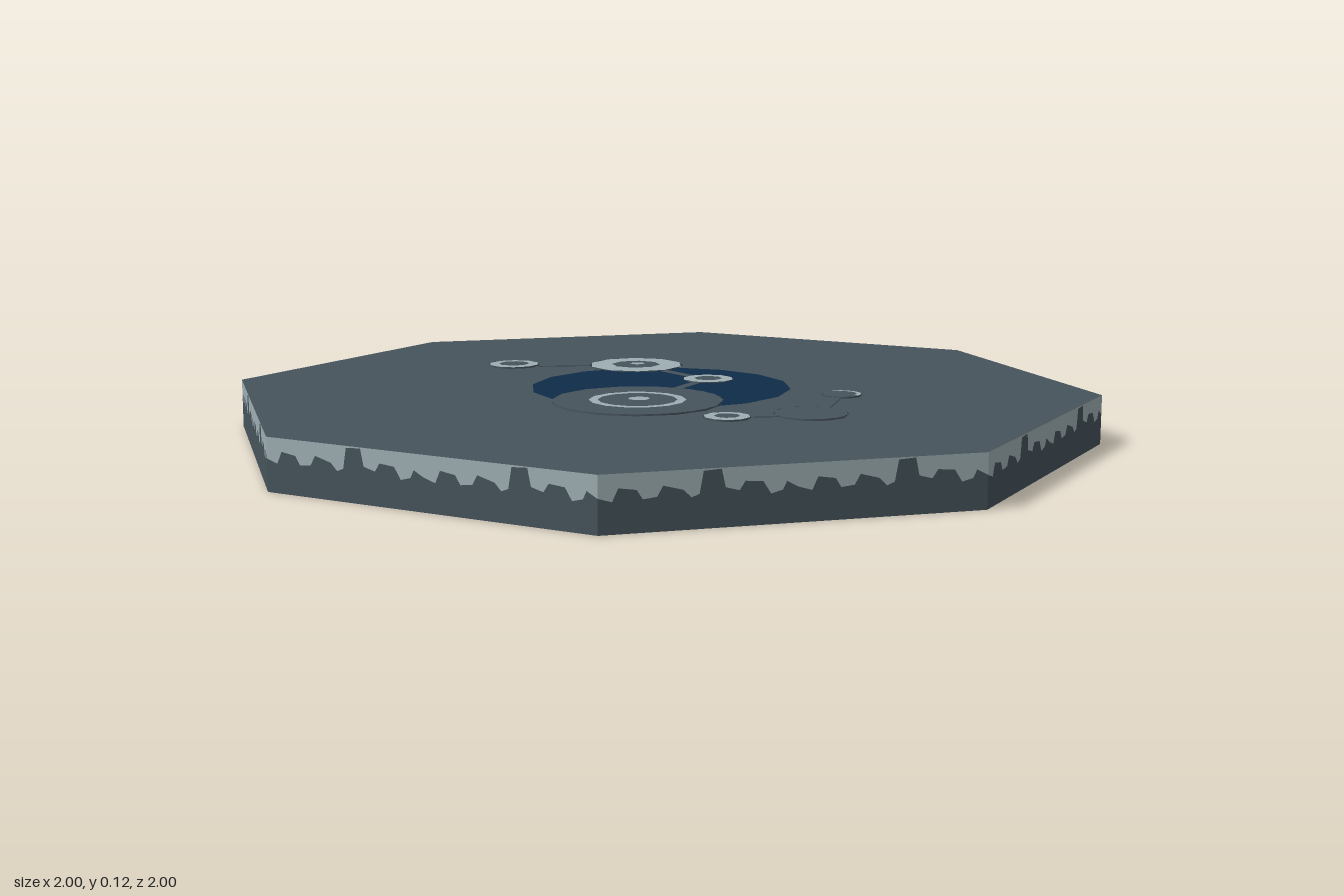
import * as THREE from 'three';

const mat = (name, color) => {
  const m = new THREE.MeshStandardMaterial({ color, side: THREE.DoubleSide });
  m.name = name;
  return m;
};

export function createModel() {
  const slate = mat('slate', 0x46535b);
  const pale = mat('paleStone', 0x9eaeb2);
  const blue = mat('deepWater', 0x0e2c48);

  const TOP = 0.112, DECK = 0.116;
  const model = new THREE.Group();
  model.name = 'octagonalPlatform';

  const add = (parent, name, geo, material, x = 0, y = 0, z = 0) => {
    const mesh = new THREE.Mesh(geo, material);
    mesh.name = name;
    mesh.position.set(x, y, z);
    parent.add(mesh);
    return mesh;
  };
  const disc = (r, n) => new THREE.CircleGeometry(r, n).rotateX(-Math.PI / 2);
  const ring = (a, b, n, start = 0, len = Math.PI * 2) =>
    new THREE.RingGeometry(a, b, n, 1, start, len).rotateX(-Math.PI / 2);

  // Plate and the pool, which shows on both faces
  add(model, 'plate', disc(1, 8), slate, 0, TOP, 0);
  add(model, 'pool', disc(0.3, 16), blue, 0, TOP + 0.0015, 0);
  add(model, 'poolUnderside', disc(0.3, 16), blue, 0, TOP - 0.0015, 0);

  // Rim wall: pale ragged crust above, slate below; the edge repeats twice a side
  const edge = [[0, 0.068], [0.07, 0.06], [0.1, 0.085], [0.19, 0.08], [0.22, 0.062], [0.29, 0.065],
    [0.32, 0.085], [0.42, 0.075], [0.46, 0.06], [0.5, 0.066], [0.52, 0.108], [0.61, 0.11],
    [0.63, 0.075], [0.7, 0.068], [0.73, 0.085], [0.82, 0.082], [0.86, 0.058], [0.92, 0.064],
    [0.94, 0.08], [1, 0.068]];
  const crust = [], base = [];
  const quad = (out, p, q, p0, p1, q0, q1) => out.push(
    p.x, p0, p.z, q.x, q0, q.z, q.x, q1, q.z,
    p.x, p0, p.z, q.x, q1, q.z, p.x, p1, p.z);
  const corner = (i) => new THREE.Vector3(Math.sin(i * Math.PI / 4), 0, Math.cos(i * Math.PI / 4));
  for (let side = 0; side < 8; side++) {
    const a = corner(side), b = corner(side + 1);
    for (let rep = 0; rep < 2; rep++) {
      for (let k = 0; k < edge.length - 1; k++) {
        const [u0, h0] = edge[k], [u1, h1] = edge[k + 1];
        const p = a.clone().lerp(b, (rep + u0) / 2);
        const q = a.clone().lerp(b, (rep + u1) / 2);
        quad(base, p, q, 0, h0, 0, h1);
        quad(crust, p, q, h0, TOP, h1, TOP);
      }
    }
  }
  const wall = (name, points, material) => {
    const geo = new THREE.BufferGeometry();
    geo.setAttribute('position', new THREE.Float32BufferAttribute(points, 3));
    geo.computeVertexNormals();
    add(model, name, geo, material);
  };
  wall('rimWall', base, slate);
  wall('rimCrust', crust, pale);

  // Round islands: open skirt, cap, worn centre and small boss
  const island = ({ name, x, z, r, cap, core = 0, dot = 0, depth = 0.012, sides = 10 }) => {
    const g = new THREE.Group();
    g.name = name;
    g.position.set(x, DECK, z);
    const h = depth + DECK - TOP;
    add(g, 'skirt', new THREE.CylinderGeometry(r, r, h, sides, 1, true), slate, 0, -h / 2, 0);
    add(g, 'cap', disc(r, sides), cap, 0, 0, 0);
    if (core) add(g, 'wornCentre', disc(core, 8), slate, 0, 0.0008, 0);
    if (dot) add(g, 'boss', disc(dot, 8), pale, -0.005, 0.0016, -0.008);
    model.add(g);
    return g;
  };
  island({ name: 'westIsland', x: -0.3, z: -0.16, r: 0.115, cap: pale, core: 0.06, dot: 0.018 });
  island({ name: 'middleIsland', x: -0.015, z: -0.155, r: 0.06, cap: pale, core: 0.033 });
  island({ name: 'farWestIsland', x: -0.5, z: 0.07, r: 0.062, cap: pale, core: 0.038 });
  island({ name: 'eastIsland', x: 0.405, z: 0.145, r: 0.05, cap: pale, core: 0.028 });
  island({ name: 'farEastIsland', x: 0.485, z: -0.02, r: 0.08, cap: slate });
  const north = island({ name: 'northIsland', x: 0.345, z: -0.245, r: 0.045, cap: slate });
  add(north, 'paleArc', ring(0.034, 0.044, 10, 0.2, 2.7), pale, 0, 0.0008, 0);
  const main = island({ name: 'mainIsland', x: 0.125, z: 0.165, r: 0.19, cap: slate,
    dot: 0.025, depth: 0.045, sides: 14 });
  add(main, 'paleRing', ring(0.088, 0.108, 14), pale, 0, 0.0008, 0);

  // Narrow bridges between islands
  const bridge = (name, x0, z0, x1, z1) => {
    const dx = x1 - x0, dz = z1 - z0;
    const geo = new THREE.BoxGeometry(Math.hypot(dx, dz), 0.008, 0.024);
    const m = add(model, name, geo, slate, (x0 + x1) / 2, TOP - 0.002, (z0 + z1) / 2);
    m.rotation.y = -Math.atan2(dz, dx);
  };
  bridge('bridgeWestMiddle', -0.19, -0.16, -0.07, -0.155);
  bridge('bridgeMiddleMain', 0.005, -0.1, 0.055, 0.01);
  bridge('bridgeFarWest', -0.45, 0.03, -0.38, -0.08);
  bridge('bridgeEast', 0.425, 0.1, 0.455, 0.05);
  bridge('bridgeNorth', 0.365, -0.21, 0.45, -0.09);

  return model;
}
